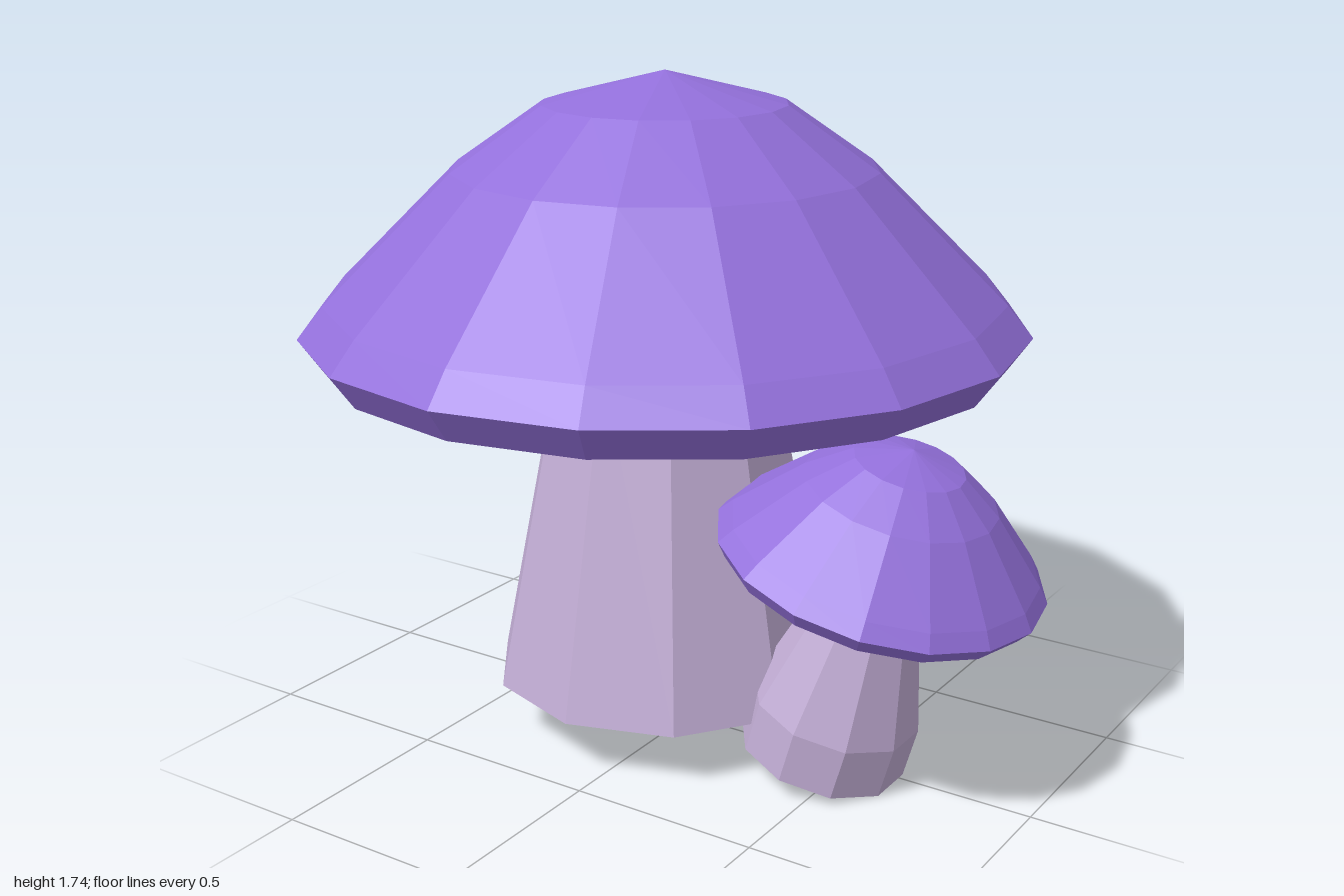
import * as THREE from 'three';

const capMaterial = new THREE.MeshStandardMaterial({ color: 0x9370db, flatShading: true });
const stemMaterial = new THREE.MeshStandardMaterial({ color: 0xc3aed6, flatShading: true });

// Faceted solid of revolution from [radius, height] pairs, bottom to top
function turned(name, profile, sides, material) {
  const points = profile.map(([r, y]) => new THREE.Vector2(r, y));
  const mesh = new THREE.Mesh(new THREE.LatheGeometry(points, sides), material);
  mesh.name = name;
  return mesh;
}

// Cap with its origin at the centre of the widest ring
const capProfile = [
  [0, -0.085], [0.87, -0.085], [0.93, 0], [0.865, 0.08],
  [0.54, 0.4], [0.31, 0.56], [0, 0.64],
];

export function createModel() {
  const model = new THREE.Group();
  model.name = 'mushrooms';

  // Large upright mushroom
  const large = new THREE.Group();
  large.name = 'largeMushroom';
  large.position.set(-0.07, 0, 0);
  const largeCap = turned('largeCap', capProfile, 16, capMaterial);
  largeCap.position.y = 1.1;
  const largeStem = turned('largeStem', [[0, 0.15], [0.46, 0.15], [0.28, 1.05], [0, 1.05]], 10, stemMaterial);
  large.add(largeCap, largeStem);

  // Small mushroom leaning outward
  const small = new THREE.Group();
  small.name = 'smallMushroom';

  const smallStem = turned('smallStem',
    [[0, 0], [0.217, 0], [0.217, 0.14], [0.112, 0.51], [0.1, 0.58], [0, 0.58]], 10, stemMaterial);
  // Bend the upper stem slightly along the lean
  const p = smallStem.geometry.attributes.position;
  for (let i = 0; i < p.count; i++) p.setX(i, p.getX(i) + 0.024 * p.getY(i));
  smallStem.geometry.computeVertexNormals();
  smallStem.position.set(0.44, 0.053, 0.045);
  smallStem.rotation.z = -0.257;

  const smallCap = turned('smallCap', capProfile, 16, capMaterial);
  smallCap.scale.set(0.443, 0.465, 0.46);
  smallCap.position.set(0.598, 0.615, 0.053);
  smallCap.rotation.z = -0.26;
  small.add(smallCap, smallStem);

  model.add(large, small);
  return model;
}
